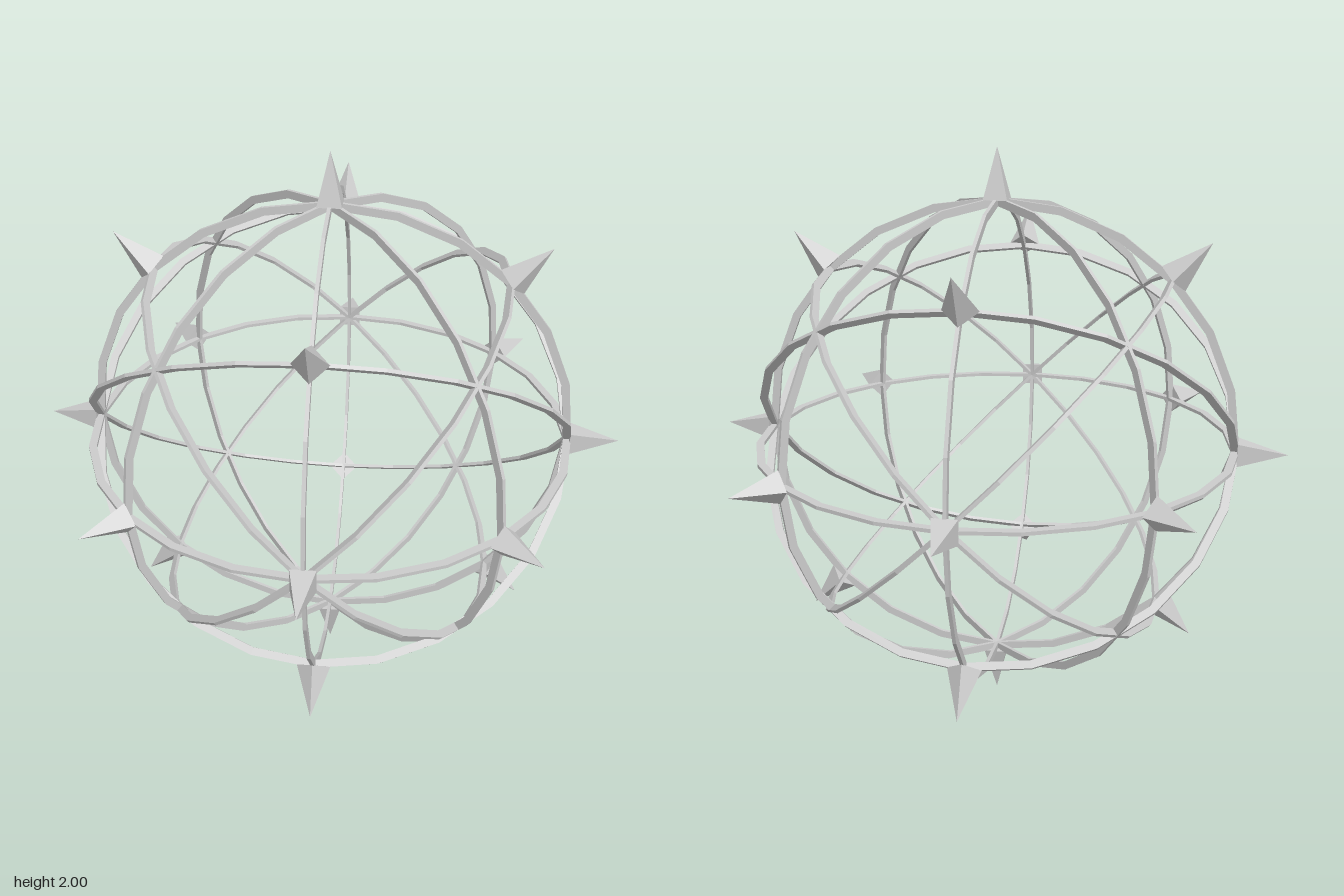
import * as THREE from 'three';

const CENTRE_Y = 1;
const RING_OUTER = 0.838, RING_INNER = 0.811, RING_HALF = 0.006;
const SPIKE_BASE = 0.83, SPIKE_RADIUS = 0.057;

export function createModel() {
  const model = new THREE.Group();
  model.name = 'spikedRingSphere';
  const material = new THREE.MeshStandardMaterial({ color: 0xcccccc, flatShading: true });

  // Thin rectangular band swept round in 24 straight steps, lying flat
  const band = [
    [RING_OUTER, -RING_HALF], [RING_OUTER, RING_HALF],
    [RING_INNER, RING_HALF], [RING_INNER, -RING_HALF], [RING_OUTER, -RING_HALF],
  ].map(([r, y]) => new THREE.Vector2(r, y));
  const ringGeometry = new THREE.LatheGeometry(band, 24);

  // Four-sided spike pointing along +z, tip at radius 1
  const height = 1 - SPIKE_BASE;
  const spikeGeometry = new THREE.ConeGeometry(SPIKE_RADIUS, height, 4);
  spikeGeometry.rotateX(Math.PI / 2).translate(0, 0, SPIKE_BASE + height / 2);

  // Turn a part by azimuth, elevation and roll, in steps of 45 degrees
  const place = (geometry, name, azimuth, elevation, roll = 0) => {
    const mesh = new THREE.Mesh(geometry, material);
    mesh.name = name;
    const [x, y, z] = [-elevation, azimuth, roll].map((n) => n * Math.PI / 4);
    mesh.rotation.set(x, y, z, 'YXZ');
    mesh.position.y = CENTRE_Y;
    model.add(mesh);
  };

  // Rings: equator, four upright great circles, four leaning at 45 degrees
  place(ringGeometry, 'equatorRing', 0, 0);
  for (let i = 0; i < 4; i++) place(ringGeometry, 'uprightRing', i, 2);
  for (let i = 1; i < 8; i += 2) place(ringGeometry, 'tiltedRing', i, 1);

  // Spikes: eight round the equator (diagonal ones rolled), four above and below, two poles
  for (let i = 0; i < 8; i++) place(spikeGeometry, 'equatorSpike', i, 0, i % 2);
  for (let i = 1; i < 8; i += 2) {
    place(spikeGeometry, 'upperSpike', i, 1);
    place(spikeGeometry, 'lowerSpike', i, -1);
  }
  place(spikeGeometry, 'topSpike', 0, 2);
  place(spikeGeometry, 'bottomSpike', 0, -2);

  return model;
}
